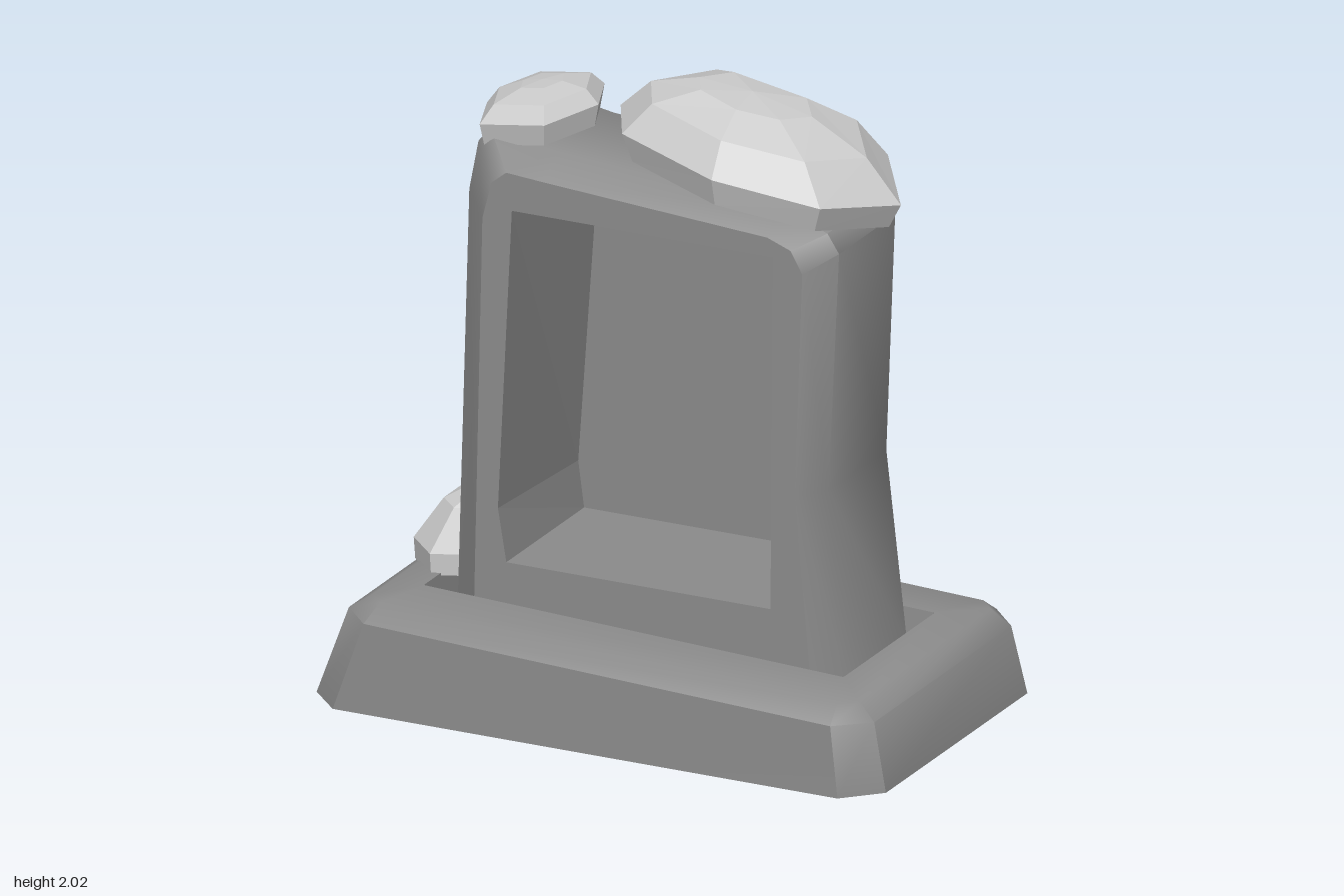
import * as THREE from 'three';
import { toCreasedNormals } from 'three/addons/utils/BufferGeometryUtils.js';

const stoneMat = new THREE.MeshStandardMaterial({ color: 0x8c8c8c, side: THREE.DoubleSide });
const rockMat = new THREE.MeshStandardMaterial({ color: 0xcccccc, flatShading: true });

// Skin a sequence of closed rings of [x, y, z] points.
function loft(rings, crease = 0) {
  const pos = [];
  for (let r = 0; r < rings.length - 1; r++) {
    const lo = rings[r], hi = rings[r + 1], n = lo.length;
    for (let i = 0; i < n; i++) {
      const j = (i + 1) % n;
      pos.push(...lo[i], ...lo[j], ...hi[j], ...lo[i], ...hi[j], ...hi[i]);
    }
  }
  const geo = new THREE.BufferGeometry();
  geo.setAttribute('position', new THREE.Float32BufferAttribute(pos, 3));
  geo.computeVertexNormals();
  return crease ? toCreasedNormals(geo, crease) : geo;
}

function add(parent, name, geo, mat) {
  const mesh = new THREE.Mesh(geo, mat);
  mesh.name = name;
  parent.add(mesh);
}

// Rectangle with cut corners; y is a rule of x.
function octagon(x0, x1, z0, z1, c, y) {
  return [[x1, z1 - c], [x1, z0 + c], [x1 - c, z0], [x0 + c, z0],
    [x0, z0 + c], [x0, z1 - c], [x0 + c, z1], [x1 - c, z1]].map(([x, z]) => [x, y(x), z]);
}

// Faceted boulder: an outline scaled about a centre, [scale, rise] per layer.
function rock(outline, [cx, cz], belt, layers) {
  return loft(layers.map(([s, h]) => outline.map(([px, pz]) => {
    const x = cx + (px - cx) * s, z = cz + (pz - cz) * s;
    return [x, belt(x) + h, z];
  })));
}

const atZ = (pts, z) => pts.map(([x, y]) => [x, y, z]);
const toPoints = pts => pts.map(([x, y]) => new THREE.Vector2(x, y));

// Lean the front of the slab slightly backwards.
function lean(geo) {
  const p = geo.attributes.position;
  for (let i = 0; i < p.count; i++) {
    if (p.getZ(i) > 0) p.setZ(i, p.getZ(i) - 0.015 * (p.getY(i) - 0.3));
  }
  geo.computeVertexNormals();
  return geo;
}

export function createModel() {
  const model = new THREE.Group();
  model.name = 'stoneShrine';

  // Hollow plinth with a sloping top and a rectangular socket
  const top = x => 0.31 - 0.04 * x;
  add(model, 'plinth', loft([
    octagon(-0.97, 0.97, -0.59, 0.59, 0.11, () => 0),
    octagon(-0.86, 0.93, -0.55, 0.58, 0.1, x => top(x) - 0.05),
    octagon(-0.79, 0.87, -0.48, 0.51, 0.05, top),
    octagon(-0.69, 0.74, -0.31, 0.31, 0.004, top),
    octagon(-0.68, 0.73, -0.3, 0.3, 0.004, x => top(x) - 0.1),
  ], 0.75), stoneMat);

  // Worn upright slab: full outline and the inset outline of its faces
  const slab = new THREE.Group();
  slab.name = 'slab';
  model.add(slab);
  const full = [[0.7, 0.22], [0.63, 0.83], [0.66, 1.6], [0.62, 1.66], [0.48, 1.71],
    [-0.3, 1.77], [-0.53, 1.81], [-0.57, 1.76], [-0.6, 1.6], [-0.63, 0.22]];
  const inset = [[0.62, 0.22], [0.56, 0.83], [0.58, 1.55], [0.54, 1.62], [0.46, 1.65],
    [-0.3, 1.7], [-0.43, 1.71], [-0.48, 1.67], [-0.51, 1.55], [-0.53, 0.22]];
  const centre = full.map(() => [0, 1]);
  add(slab, 'slabBody', toCreasedNormals(lean(loft([
    atZ(centre, -0.285), atZ(inset, -0.285), atZ(full, -0.2), atZ(full, 0.2), atZ(inset, 0.29),
  ])), 0.75), stoneMat);

  // Front frame and deep niche
  const mouth = [[0.48, 0.45], [0.48, 1.59], [-0.41, 1.59], [-0.45, 0.62], [-0.42, 0.45]];
  const deep = [[0.48, 0.45], [0.48, 1.59], [-0.37, 1.59], [-0.44, 0.6], [-0.42, 0.45]];
  const face = new THREE.Shape(toPoints(inset));
  face.holes.push(new THREE.Path(toPoints(mouth)));
  add(slab, 'frontFrame', lean(new THREE.ShapeGeometry(face).translate(0, 0, 0.29)), stoneMat);
  add(slab, 'niche', lean(loft([
    atZ(mouth, 0.29), atZ(deep, -0.24), atZ(mouth.map(() => [0, 1]), -0.24),
  ])), stoneMat);

  // Boulders: two lying on top, one leaning against the side
  add(model, 'largeTopRock', rock(
    [[0.77, -0.02], [0.6, -0.27], [-0.02, -0.27], [-0.18, -0.01], [-0.07, 0.2], [0.3, 0.33], [0.62, 0.23]],
    [0.27, -0.01], x => 1.83 - 0.18 * (x - 0.3) - 0.16 * (x - 0.3) ** 2,
    [[0, -0.09], [0.92, -0.09], [1, 0], [0.77, 0.1], [0.4, 0.155], [0, 0.165]]), rockMat);
  add(model, 'smallTopRock', rock(
    [[-0.25, 0], [-0.33, -0.2], [-0.55, -0.2], [-0.63, 0], [-0.55, 0.21], [-0.33, 0.21]],
    [-0.44, 0], x => 1.845 + 0.15 * (x + 0.43),
    [[0, -0.07], [0.93, -0.07], [1, 0], [0.78, 0.05], [0.35, 0.075], [0, 0.08]]), rockMat);
  add(model, 'sideRock', rock(
    [[-0.5, 0.12], [-0.5, -0.12], [-0.72, -0.2], [-0.83, -0.1], [-0.83, 0.1], [-0.72, 0.21]],
    [-0.61, 0], () => 0.4,
    [[0, -0.07], [0.98, -0.07], [1, 0], [0.62, 0.13], [0, 0.21]]), rockMat);

  return model;
}
